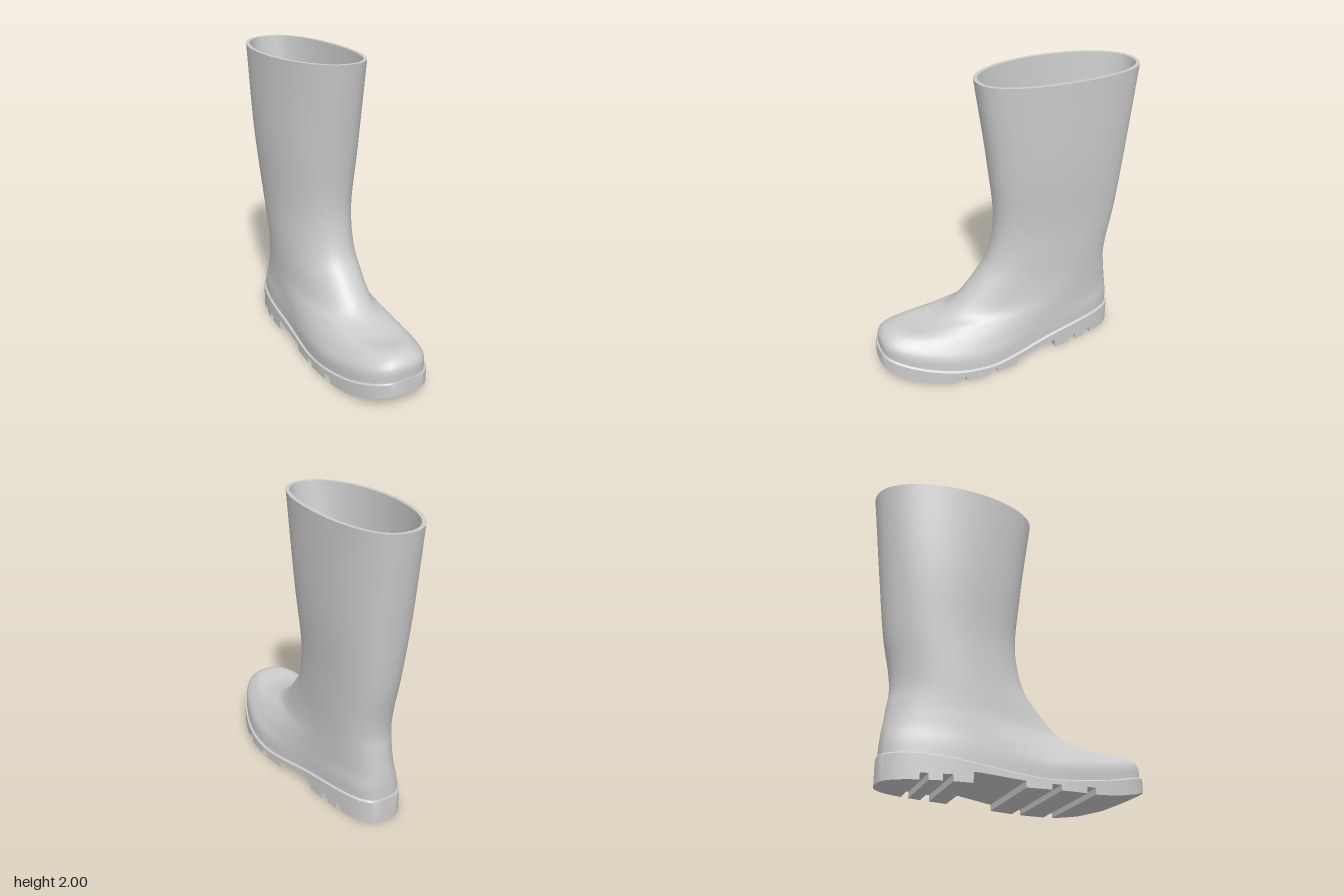
import * as THREE from 'three';
import { toCreasedNormals } from 'three/addons/utils/BufferGeometryUtils.js';

const { lerp, smoothstep } = THREE.MathUtils;
const COLS = 64, ROWS = 56;

// Piecewise lookup through [z, y] stations, z descending
function lookup(table, z, smooth) {
  let i = 0;
  while (i < table.length - 2 && z < table[i + 1][0]) i++;
  const [z0, y0] = table[i], [z1, y1] = table[i + 1];
  const t = Math.min(1, Math.max(0, (z - z0) / (z1 - z0)));
  if (!smooth) return lerp(y0, y1, t);
  const a = table[Math.max(0, i - 1)], b = table[Math.min(table.length - 1, i + 2)];
  const m0 = (y1 - a[1]) / (z1 - a[0]) * (z1 - z0), m1 = (b[1] - y0) / (b[0] - z0) * (z1 - z0);
  const t2 = t * t, t3 = t2 * t;
  return (2 * t3 - 3 * t2 + 1) * y0 + (t3 - 2 * t2 + t) * m0 + (3 * t2 - 2 * t3) * y1 + (t3 - t2) * m1;
}

const SOLE_TOP = [[0.93, 0.197], [0.6, 0.113], [0.22, 0.07], [0, 0.088], [-0.3, 0.132], [-0.6, 0.163], [-0.81, 0.17]];
const SOLE_BOTTOM = [[0.93, 0.1], [0.8, 0.05], [0.65, 0.015], [0.5, 0], [-0.81, 0]];
// Tread cuts: front z, back z, depth at front, depth at back
const CUTS = [[0.48, 0.42, 0.04, 0.04], [0.25, 0.19, 0.035, 0.035], [0.03, -0.24, 0.04, 0.065],
  [-0.24, -0.29, 0.065, 0.065], [-0.41, -0.47, 0.04, 0.04], [-0.55, -0.6, 0.04, 0.04]];
const soleTop = z => lookup(SOLE_TOP, z, true);

// Rings from sole edge to rim: front z, back z, heel half width, ball half width,
// roundness power, sole follow, front height, back height, vamp bulge, skew, wall thickness
const RINGS = [
  [0.915, -0.797, 0.258, 0.336, 0.67, 1, -0.01, -0.01, 0, 0, 0.03],
  [0.908, -0.795, 0.259, 0.332, 0.7, 1, 0.09, 0.08, 0, 0, 0.03],
  [0.83, -0.788, 0.256, 0.298, 0.82, 1, 0.168, 0.165, 0, 0, 0.03],
  [0.62, -0.775, 0.248, 0.252, 0.86, 1, 0.207, 0.25, 0.1, 0, 0.035],
  [0.42, -0.764, 0.24, 0.23, 0.89, 0.5, 0.34, 0.42, 0.02, 0, 0.045],
  [0.22, -0.75, 0.235, 0.228, 0.91, 0, 0.58, 0.6, 0, 0, 0.055],
  [0.13, -0.76, 0.235, 0.232, 0.91, 0, 0.71, 0.73, 0, 0, 0.055],
  [0.075, -0.808, 0.24, 0.24, 0.9, 0, 0.97, 0.97, 0, 0.005, 0.05],
  [0.113, -0.862, 0.27, 0.27, 0.88, 0, 1.4, 1.4, 0, 0.015, 0.035],
  [0.2, -0.93, 0.284, 0.284, 0.86, 0, 2, 1.99, 0, 0.022, 0.026],
];

const footWidth = (u, heel, ball) => lerp(heel, ball, smoothstep(u, 0.3, 0.75));
const footCenter = u => lerp(-0.04, 0, smoothstep(u, 0.15, 0.65)) - 0.025 * smoothstep(u, 0.7, 1);

function ringPoint(k, angle, inner) {
  const [zf, zb, heel, ball, power, follow, hf, hb, bulge, skew, wall] = RINGS[k];
  const t = inner ? wall : 0, s = Math.sin(angle), c = Math.cos(angle), u = (1 + c) / 2;
  const z = lerp(zb + t, zf - t, u);
  const drop = k === 0 ? -t : t * follow;
  const y = soleTop(z) * follow + lerp(hb, hf, u) + bulge * (s * u) ** 2 - drop;
  // The shaft leans to one side and is slightly skewed
  const shaft = Math.min(1, k / 5);
  const center = lerp(footCenter(u), -0.035 + skew * c + 0.028 * c * c, shaft);
  const x = center + Math.sign(s) * Math.abs(s) ** power * (footWidth(u, heel, ball) - t);
  return new THREE.Vector3(x, y, z);
}

// Surface over rows of points; each row is a closed loop
function loft(rows, flip = false) {
  const n = rows[0].length, index = [];
  for (let i = 0; i < rows.length - 1; i++) {
    for (let j = 0; j < n; j++) {
      const a = i * n + j, b = i * n + (j + 1) % n, c = b + n, d = a + n;
      if (flip) index.push(a, c, b, a, d, c);
      else index.push(a, b, c, a, c, d);
    }
  }
  const g = new THREE.BufferGeometry().setFromPoints(rows.flat());
  g.setIndex(index);
  g.computeVertexNormals();
  return g;
}

// Smooth rings through the key rings
function bootRows(inner) {
  const columns = [];
  for (let j = 0; j < COLS; j++) {
    const angle = j / COLS * Math.PI * 2;
    const curve = new THREE.CatmullRomCurve3(RINGS.map((_, k) => ringPoint(k, angle, inner)));
    columns.push(curve.getPoints(ROWS));
  }
  return Array.from({ length: ROWS + 1 }, (_, i) => columns.map(c => c[i]));
}

function soleGeometry() {
  const zf = 0.93, zb = -0.81, e = 0.0005;
  const stations = [];
  for (let i = 0; i <= 64; i++) stations.push(lerp(zb, zf, (1 - Math.cos(i / 64 * Math.PI)) / 2));
  for (const [a, b] of CUTS) stations.push(a + e, a - e, b + e, b - e);
  stations.sort((a, b) => a - b);
  const rows = stations.map(z => {
    const u = Math.min(1, Math.max(0, (z - zb) / (zf - zb)));
    const w = (2 * Math.sqrt(u * (1 - u))) ** 0.67 * footWidth(u, 0.272, 0.348);
    const cx = footCenter(u);
    const cut = CUTS.find(c => z < c[0] && z > c[1]);
    const low = cut ? lerp(cut[2], cut[3], (cut[0] - z) / (cut[0] - cut[1])) : lookup(SOLE_BOTTOM, z);
    const top = soleTop(z), lip = Math.max(0, w - 0.014);
    return [[w, low], [w, top - 0.01], [lip, top], [-lip, top], [-w, top - 0.01], [-w, low]]
      .map(([x, y]) => new THREE.Vector3(cx + x, y, z));
  });
  return toCreasedNormals(loft(rows), 0.6);
}

export function createModel() {
  const group = new THREE.Group();
  const material = new THREE.MeshStandardMaterial({ color: 0xcccccc });
  const add = (name, geometry) => {
    const mesh = new THREE.Mesh(geometry, material);
    mesh.name = name;
    group.add(mesh);
  };

  const outer = bootRows(false), inner = bootRows(true);
  add('upper', loft(outer));
  add('lining', loft(inner, true));
  add('rim', loft([outer[ROWS], inner[ROWS]]));

  // Insole: the lowest lining loop closed along the foot's centre line
  const edge = inner[0];
  const spine = edge.map(p => new THREE.Vector3(0, p.y, p.z));
  add('insole', loft([edge, spine]));

  add('sole', soleGeometry());
  return group;
}
